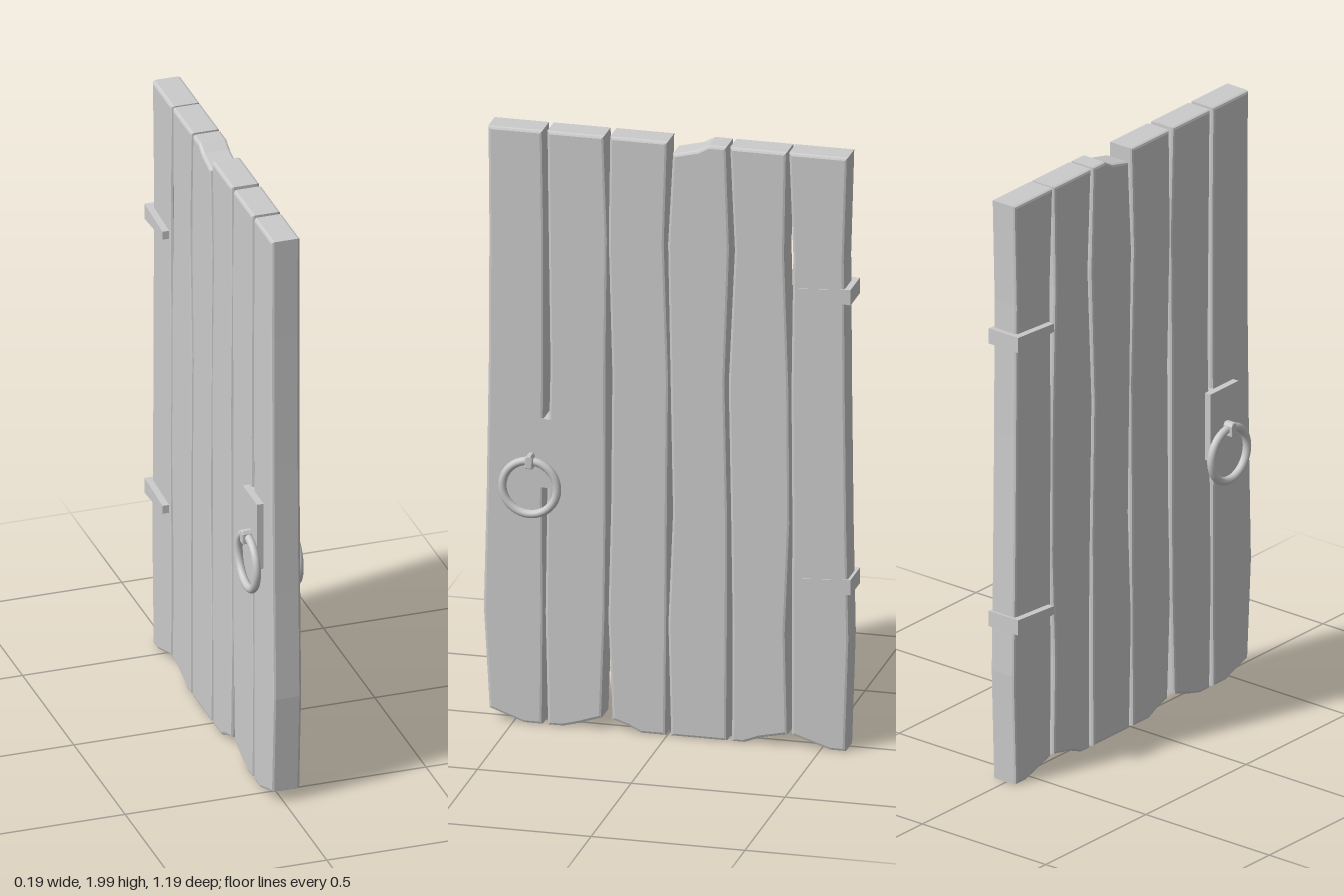
import * as THREE from 'three';

const material = new THREE.MeshStandardMaterial({ color: 0xcccccc, flatShading: true });
const smooth = new THREE.MeshStandardMaterial({ color: 0xcccccc });

function add(parent, name, geometry, mat = material) {
  const mesh = new THREE.Mesh(geometry, mat);
  mesh.name = name;
  parent.add(mesh);
  return mesh;
}

// Slab with a (z, y) outline, reaching from x0 to x1, with optional bevelled edges
function slab(outline, x0, x1, bevel = 0) {
  const shape = new THREE.Shape(outline.map(([z, y]) => new THREE.Vector2(z, y)));
  const geometry = new THREE.ExtrudeGeometry(shape, {
    depth: x1 - x0 - 2 * bevel,
    bevelEnabled: bevel > 0,
    bevelThickness: bevel,
    bevelSize: bevel,
    bevelOffset: -bevel,
    bevelSegments: 2,
  });
  geometry.rotateY(-Math.PI / 2);
  geometry.translate(x1 - bevel, 0, 0);
  return geometry;
}

// Heights at which the plank edges bend
const levels = [1.65, 1.2, 0.75, 0.38];

// Each plank: top corners, bottom corners, and the edge positions at the levels
const planks = [
  { top: [[0.582, 1.995], [0.405, 1.995]], bottom: [[0.405, 0.005], [0.465, 0.005], [0.578, 0.045]],
    front: [0.579, 0.581, 0.588, 0.597], back: [0.4, 0.4, 0.404, 0.402] },
  { top: [[0.39, 1.995], [0.205, 1.995]], bottom: [[0.212, 0.045], [0.285, 0.02], [0.34, 0.005], [0.388, 0.005]],
    front: [0.386, 0.38, 0.391, 0.396], back: [0.193, 0.198, 0.197, 0.201] },
  { top: [[0.186, 1.995], [-0.002, 1.995]], bottom: [[0.004, 0.005], [0.085, 0.005], [0.125, 0.025], [0.178, 0.042]],
    front: [0.191, 0.179, 0.183, 0.192], back: [0.008, -0.006, -0.002, 0] },
  { top: [[-0.018, 1.955], [-0.1, 1.975], [-0.135, 1.995], [-0.193, 1.995]], bottom: [[-0.194, 0.005], [-0.012, 0.005]],
    front: [-0.002, -0.01, -0.018, -0.003], back: [-0.204, -0.189, -0.198, -0.197] },
  { top: [[-0.204, 1.995], [-0.389, 1.995]], bottom: [[-0.392, 0.045], [-0.3, 0.025], [-0.25, 0.005], [-0.21, 0.005]],
    front: [-0.219, -0.199, -0.207, -0.212], back: [-0.383, -0.397, -0.4, -0.385] },
  { top: [[-0.396, 1.995], [-0.587, 1.995]], bottom: [[-0.58, 0.005], [-0.53, 0.005], [-0.405, 0.045]],
    front: [-0.409, -0.403, -0.406, -0.404], back: [-0.577, -0.58, -0.585, -0.592] },
];

export function createModel() {
  const door = new THREE.Group();
  door.name = 'plankDoor';

  // Weathered vertical boards
  planks.forEach((p, i) => {
    const outline = [
      ...p.top,
      ...levels.map((y, k) => [p.back[k], y]),
      ...p.bottom,
      ...levels.map((y, k) => [p.front[k], y]).reverse(),
    ];
    add(door, `plank${i + 1}`, slab(outline, -0.04, 0.055, 0.009));
  });

  // Tapered hinge straps wrapped around the rear edge
  [1.53, 0.558].forEach((y, i) => {
    const outline = [[-0.42, y + 0.014], [-0.598, y + 0.026], [-0.598, y - 0.026], [-0.42, y - 0.014]];
    add(door, i ? 'lowerHinge' : 'upperHinge', slab(outline, -0.062, 0.057));
  });

  // Lock plate let through the boards, proud on one side
  const plate = add(door, 'lockPlate', new THREE.BoxGeometry(0.117, 0.23, 0.14));
  plate.position.set(-0.0035, 0.915, 0.432);

  // Ring pull and its stud on both faces
  for (const [side, ringX, studX, tip] of [['right', -0.073, -0.05, -0.095], ['left', 0.069, 0.045, 0.092]]) {
    const handle = new THREE.Group();
    handle.name = `${side}Handle`;
    door.add(handle);

    const ring = add(handle, 'ring', new THREE.TorusGeometry(0.089, 0.0135, 12, 40), smooth);
    ring.rotation.y = Math.PI / 2;
    ring.position.set(ringX, 0.802, 0.442);

    const stud = add(handle, 'stud', slab([
      [0.43, 0.87], [0.454, 0.87], [0.455, 0.904], [0.449, 0.914], [0.435, 0.914], [0.429, 0.904],
    ], Math.min(studX, tip), Math.max(studX, tip), 0.004));
    stud.position.z = -0.001;
  }

  return door;
}
